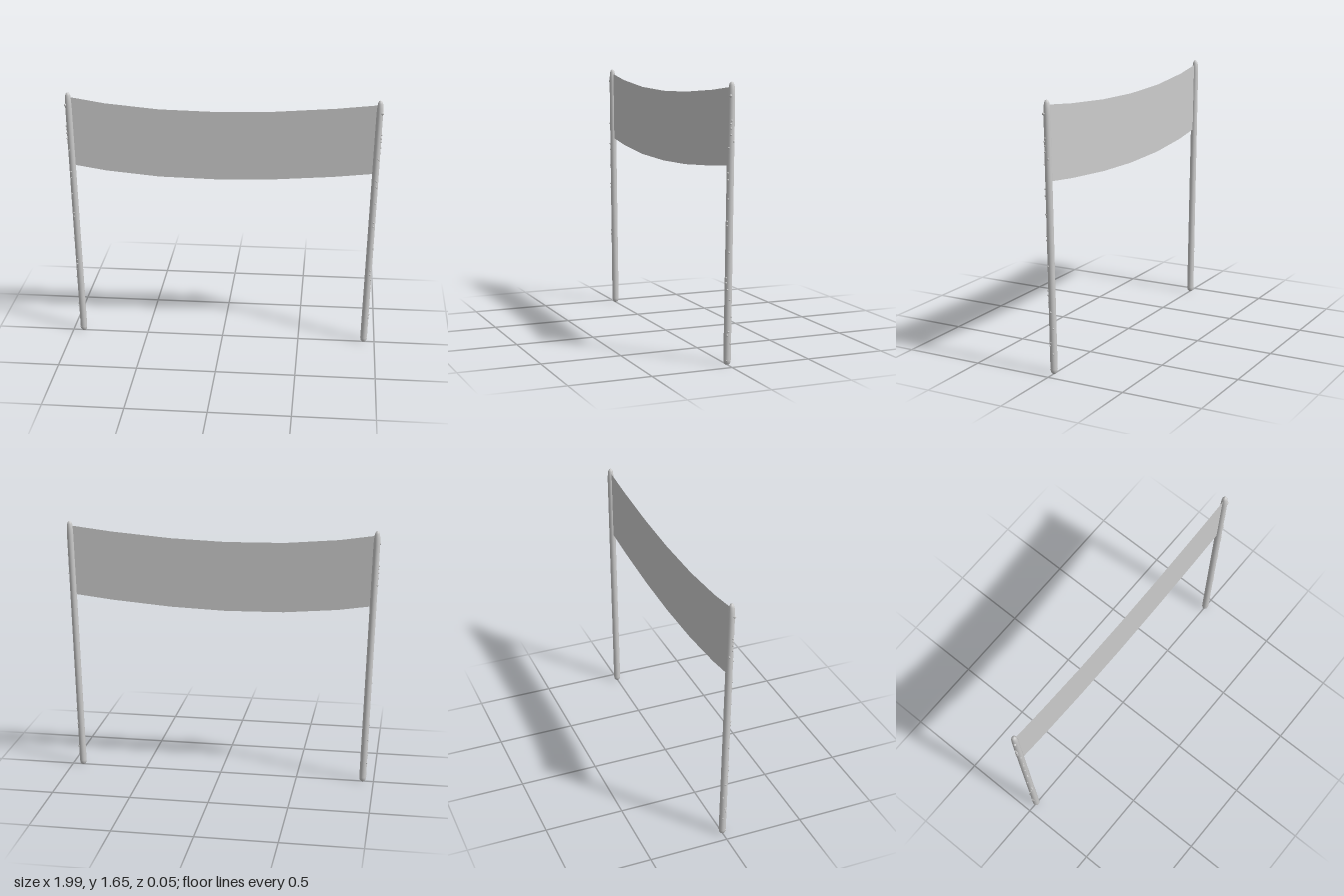
import * as THREE from 'three';

const grey = new THREE.MeshStandardMaterial({ color: 0xcccccc });
const cloth = new THREE.MeshStandardMaterial({ color: 0xcccccc, side: THREE.DoubleSide });

// x of the leaning pole axis at height y
const axisX = (y) => 0.93 + 0.04 * (y / 1.65);

// Radius and height of the rounded pole
const profile = [
  [0, 0], [0.012, 0.003], [0.019, 0.012], [0.022, 0.03], [0.0215, 0.5], [0.021, 1.1],
  [0.0205, 1.56], [0.019, 1.6], [0.016, 1.63], [0.01, 1.645], [0, 1.65],
];

// Knots on the outer front of the pole: height, z, radius
const knots = [
  [1.57, 0.013, 0.009], [1.43, 0.006, 0.006], [1.41, 0.01, 0.006], [1.385, 0.008, 0.006],
  [1.35, 0.009, 0.006], [1.31, -0.01, 0.006], [1.275, 0.018, 0.006], [1.13, 0.019, 0.006],
  [1.09, 0.018, 0.006], [0.98, 0.017, 0.006], [0.85, 0.019, 0.006], [0.825, 0.019, 0.006],
  [0.67, 0.009, 0.006], [0.52, 0.019, 0.006], [0.49, 0.019, 0.006], [0.45, 0.013, 0.006],
  [0.39, 0, 0.006], [0.29, -0.012, 0.006], [0.2, 0.004, 0.006], [0.18, 0.01, 0.006],
  [0.13, -0.009, 0.006], [0.03, 0.012, 0.005],
];

function buildPole(side) {
  const pole = new THREE.Group();
  pole.name = side > 0 ? 'leftPole' : 'rightPole';

  const geo = new THREE.LatheGeometry(profile.map(([r, y]) => new THREE.Vector2(r, y)), 16);
  const pos = geo.attributes.position;
  for (let i = 0; i < pos.count; i++) {
    pos.setX(i, pos.getX(i) + side * axisX(pos.getY(i)));
  }
  const shaft = new THREE.Mesh(geo, grey);
  shaft.name = 'shaft';
  pole.add(shaft);

  const knotGeo = new THREE.SphereGeometry(1, 8, 6);
  for (const [y, z, r] of knots) {
    const knot = new THREE.Mesh(knotGeo, grey);
    knot.name = 'knot';
    const out = Math.sqrt(Math.max(0, 0.021 ** 2 - z * z));
    knot.position.set(side * (axisX(y) + out), y, z);
    knot.scale.setScalar(r);
    pole.add(knot);
  }
  return pole;
}

// Sagging sheet: x and top height of each column
function buildBanner() {
  const columns = [
    [-0.965, 1.62], [-0.74, 1.585], [-0.4, 1.555], [-0.03, 1.548],
    [0.32, 1.56], [0.7, 1.59], [0.965, 1.62],
  ];
  const geo = new THREE.PlaneGeometry(1, 1, columns.length - 1, 1);
  const pos = geo.attributes.position;
  columns.forEach(([x, top], i) => {
    pos.setXYZ(i, x, top, 0);
    pos.setXYZ(i + columns.length, x, top - 0.445, 0);
  });
  const banner = new THREE.Mesh(geo, cloth);
  banner.name = 'banner';
  return banner;
}

export function createModel() {
  const model = new THREE.Group();
  model.name = 'bannerOnPoles';
  model.add(buildPole(1), buildPole(-1), buildBanner());
  return model;
}
